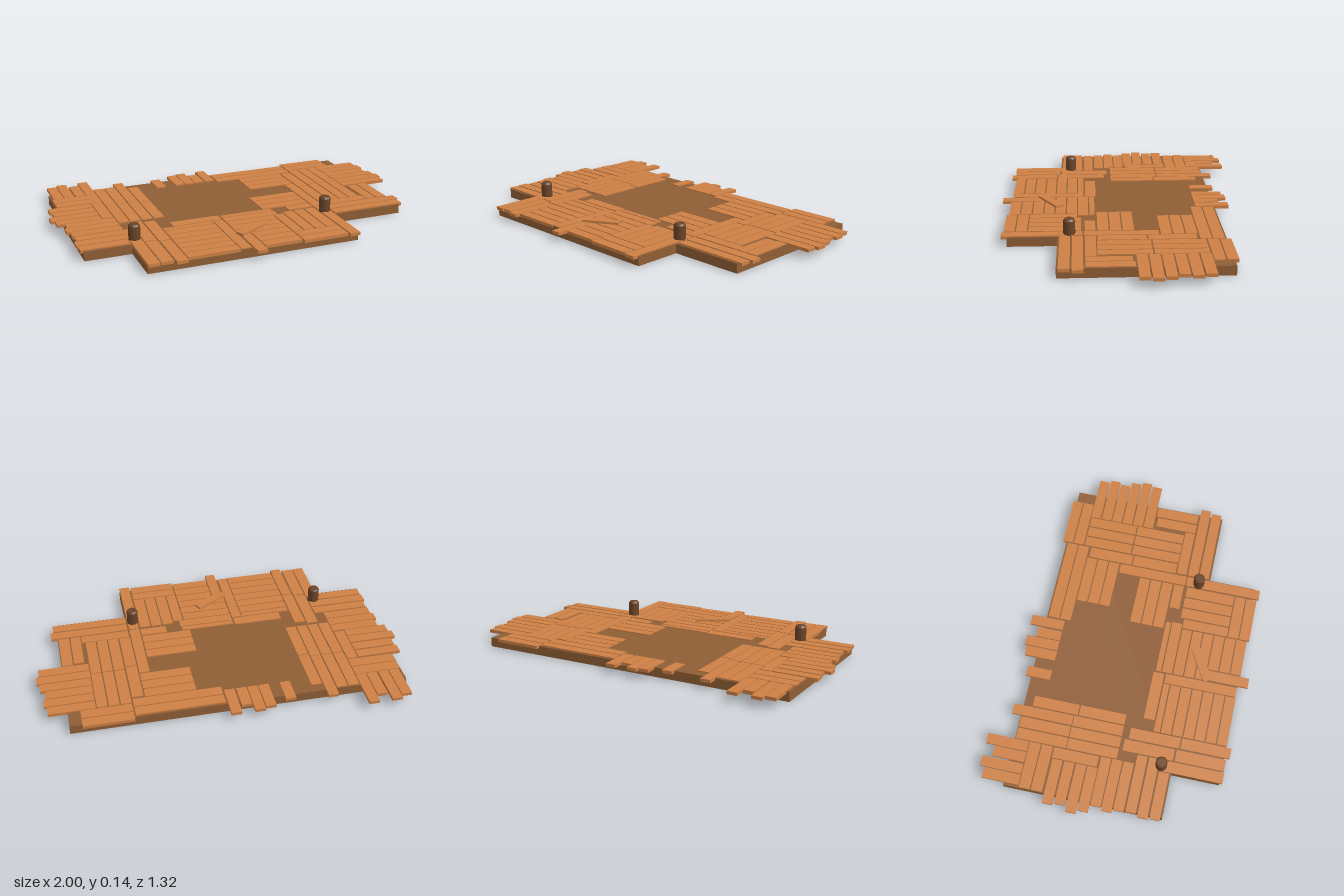
import * as THREE from 'three';

const mat = (color) => new THREE.MeshStandardMaterial({ color, flatShading: true });

export function createModel() {
  const model = new THREE.Group();
  const plankMat = mat(0xcd8045), baseMat = mat(0x8f5e35), postMat = mat(0x6b4428);

  // T-shaped deck base
  const outline = [[-0.93, -0.52], [0.855, -0.52], [0.855, 0.34], [0.455, 0.34],
    [0.455, 0.6], [-0.685, 0.6], [-0.685, 0.34], [-0.93, 0.34]];
  const shape = new THREE.Shape(outline.map(([x, z]) => new THREE.Vector2(x, -z)));
  const baseGeo = new THREE.ExtrudeGeometry(shape, { depth: 0.05, bevelEnabled: false });
  baseGeo.rotateX(-Math.PI / 2);
  const base = new THREE.Mesh(baseGeo, baseMat);
  base.name = 'deckBase';
  model.add(base);

  // Planks
  const planks = new THREE.Group();
  planks.name = 'planks';
  model.add(planks);
  const plank = (x0, x1, z0, z1) => {
    const m = new THREE.Mesh(new THREE.BoxGeometry(x1 - x0, 0.017, z1 - z0), plankMat);
    m.position.set((x0 + x1) / 2, 0.0475, (z0 + z1) / 2);
    m.name = 'plank';
    planks.add(m);
  };
  const GAP = 0.007;
  // n planks running along x, stacked in z
  const rows = (x0, x1, z0, z1, n = 1) => {
    const p = (z1 - z0 + GAP) / n;
    for (let i = 0; i < n; i++) plank(x0, x1, z0 + i * p, z0 + (i + 1) * p - GAP);
  };
  // n planks running along z, side by side in x
  const cols = (x0, x1, z0, z1, n = 1) => {
    const p = (x1 - x0 + GAP) / n;
    for (let i = 0; i < n; i++) plank(x0 + i * p, x0 + (i + 1) * p - GAP, z0, z1);
  };

  // Uneven plank ends overhanging the back edge
  [[-0.915, -0.64], [-0.855, -0.665], [-0.79, -0.615], [-0.73, -0.665]]
    .forEach(([x, z]) => plank(x, x + 0.055, z, -0.44));
  [[-0.315, -0.55], [-0.2, -0.585], [-0.14, -0.6], [-0.08, -0.55], [-0.015, -0.6]]
    .forEach(([x, z]) => plank(x, x + 0.055, z, -0.415));

  // Uneven plank ends overhanging the -x edge
  [[-0.295, -0.98, -0.74], [-0.23, -0.97, -0.74], [-0.165, -1, -0.74], [-0.103, -0.98, -0.74],
    [-0.043, -0.94, -0.675], [0.018, -0.955, -0.675], [0.08, -0.94, -0.675],
    [0.145, -0.935, -0.625], [0.21, -0.95, -0.625], [0.275, -0.945, -0.69]]
    .forEach(([z, x0, x1]) => plank(x0, x1, z, z + 0.055));

  // Uneven plank ends overhanging the +x edge
  [[-0.415, 0.955], [-0.352, 0.97], [-0.29, 0.955], [-0.228, 0.98], [-0.165, 0.995], [-0.103, 0.98]]
    .forEach(([z, x1]) => plank(0.71, x1, z, z + 0.055));
  rows(0.46, 0.725, 0.145, 0.2);
  rows(0.46, 0.89, 0.21, 0.265);
  rows(0.46, 0.875, 0.275, 0.33);

  // -x side fields
  rows(-0.925, -0.675, -0.435, -0.308, 2);
  cols(-0.735, -0.677, -0.3, -0.055);
  cols(-0.67, -0.548, -0.515, -0.24, 2);
  cols(-0.54, -0.485, -0.57, -0.24);
  cols(-0.478, -0.42, -0.47, -0.22);
  cols(-0.67, -0.485, -0.235, 0.04, 3);
  cols(-0.478, -0.42, -0.213, 0.04);
  cols(-0.618, -0.555, 0.06, 0.335);
  cols(-0.547, -0.487, 0.08, 0.355);
  cols(-0.685, -0.625, 0.27, 0.615);
  cols(-0.618, -0.555, 0.345, 0.612);
  cols(-0.545, -0.487, 0.362, 0.63);

  // Front fields
  rows(-0.42, -0.15, 0.135, 0.195);
  rows(-0.48, -0.205, 0.203, 0.235);
  rows(-0.48, -0.205, 0.242, 0.603, 6);
  cols(-0.2, -0.147, 0.205, 0.6);
  cols(-0.135, -0.08, 0.425, 0.657);
  rows(-0.14, 0.155, 0.145, 0.173);
  rows(-0.14, 0.16, 0.18, 0.235);
  rows(-0.14, 0.13, 0.242, 0.418, 3);
  rows(-0.073, 0.13, 0.425, 0.607, 3);
  cols(0.137, 0.19, 0.24, 0.493);
  cols(0.197, 0.385, 0.22, 0.493, 3);
  rows(0.137, 0.385, 0.5, 0.62, 2);
  cols(0.395, 0.45, 0.212, 0.63);
  cols(0.395, 0.45, -0.18, 0.205);

  // +x side fields
  rows(0.115, 0.388, -0.055, 0.135, 3);
  rows(0.245, 0.388, 0.145, 0.2);
  rows(0.18, 0.45, -0.378, -0.19, 3);
  rows(0.05, 0.517, -0.51, -0.385, 2);
  rows(0.525, 0.79, -0.54, -0.42, 2);
  cols(0.525, 0.705, -0.412, -0.14, 3);
  cols(0.525, 0.705, -0.133, 0.14, 3);
  cols(0.457, 0.517, -0.37, -0.122);
  cols(0.457, 0.517, -0.115, 0.137);
  cols(0.73, 0.785, -0.03, 0.2);
  cols(0.792, 0.85, -0.04, 0.2);

  // Loose plank lying across the front
  const loose = new THREE.Mesh(new THREE.BoxGeometry(0.2, 0.012, 0.048), plankMat);
  loose.position.set(-0.056, 0.062, 0.386);
  loose.rotation.y = 0.52;
  loose.name = 'loosePlank';
  model.add(loose);

  // Mooring posts with chamfered tops
  const profile = [[0, 0.03], [0.031, 0.03], [0.031, 0.128], [0.024, 0.138], [0, 0.138]]
    .map(([r, y]) => new THREE.Vector2(r, y));
  for (const x of [-0.655, 0.421]) {
    const post = new THREE.Mesh(new THREE.LatheGeometry(profile, 14), postMat);
    post.position.set(x, 0, 0.28);
    post.name = 'post';
    model.add(post);
  }
  return model;
}
